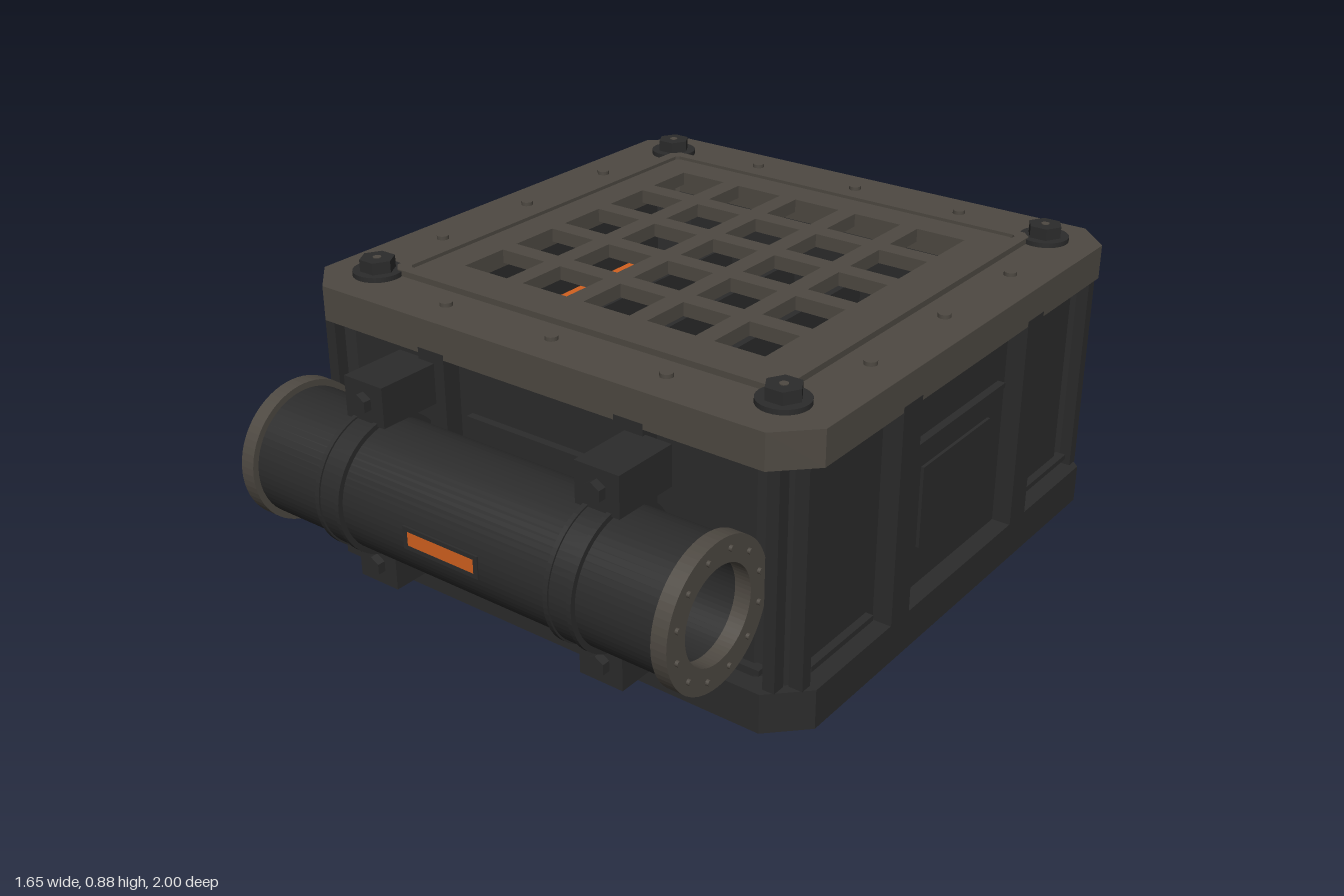
import * as THREE from 'three';

const mat = (name, color) => {
  const m = new THREE.MeshStandardMaterial({ color });
  m.name = name;
  return m;
};

export function createModel() {
  const dark = mat('dark steel', 0x2b2b2b);
  const brown = mat('warm grey metal', 0x4e4942);
  const orange = mat('glowing orange', 0xd2611f);

  const model = new THREE.Group();
  model.name = 'ventUnit';
  const unit = new THREE.Group();
  unit.name = 'housing';
  unit.position.z = -0.175;
  model.add(unit);

  const add = (parent, name, geo, material, x = 0, y = 0, z = 0) => {
    const m = new THREE.Mesh(geo, material);
    m.name = name;
    m.position.set(x, y, z);
    parent.add(m);
    return m;
  };
  const box = (parent, name, material, w, h, d, x, y, z) =>
    add(parent, name, new THREE.BoxGeometry(w, h, d), material, x, y, z);

  // Square outline with cut corners
  const outline = (h, c, P = THREE.Shape) => new P([
    [h, -h + c], [h, h - c], [h - c, h], [-h + c, h],
    [-h, h - c], [-h, -h + c], [-h + c, -h], [h - c, -h],
  ].map(([x, y]) => new THREE.Vector2(x, y)));
  const slab = (name, material, shape, y0, y1) => {
    const g = new THREE.ExtrudeGeometry(shape, { depth: y1 - y0, bevelEnabled: false });
    g.rotateX(-Math.PI / 2);
    return add(unit, name, g, material, 0, y0, 0);
  };
  const ring = (h, c, hi, ci) => {
    const s = outline(h, c);
    s.holes.push(outline(hi, ci, THREE.Path));
    return s;
  };

  // Base, hollow body and lid frame
  slab('base', dark, outline(0.825, 0.1), 0, 0.115);
  slab('bodyWalls', dark, ring(0.77, 0.1, 0.7, 0.08), 0.115, 0.73);
  slab('lidFrame', brown, ring(0.825, 0.1, 0.605, 0.01), 0.73, 0.83);
  slab('grilleRim', brown, ring(0.645, 0.025, 0.61, 0.01), 0.83, 0.847);

  // Grille plate with 5 x 5 square openings
  const grille = outline(0.604, 0.01);
  const r = 0.0775;
  for (let i = -2; i <= 2; i++) for (let j = -2; j <= 2; j++) {
    const cx = i * 0.2125, cy = j * 0.2125;
    grille.holes.push(new THREE.Path([[-r, -r], [-r, r], [r, r], [r, -r]]
      .map(([x, y]) => new THREE.Vector2(cx + x, cy + y))));
  }
  slab('grille', brown, grille, 0.80, 0.84);

  // Glowing core with upright fins
  box(unit, 'core', orange, 1.3, 0.03, 1.06, 0, 0.515, 0);
  for (const x of [-0.36, -0.12, 0.12, 0.36]) {
    box(unit, 'coreFin', dark, 0.034, 0.1, 1.1, x, 0.57, 0);
  }

  // Four matching sides with ribs, panels, trims and corner posts
  for (let k = 0; k < 4; k++) {
    const side = new THREE.Group();
    side.name = 'side';
    side.rotation.y = k * Math.PI / 2;
    unit.add(side);
    for (const s of [-1, 1]) {
      box(side, 'rib', dark, 0.09, 0.63, 0.066, s * 0.328, 0.43, 0.793);
      box(side, 'bayTrim', dark, 0.29, 0.016, 0.03, s * 0.555, 0.148, 0.778);
      box(side, 'cornerRail', dark, 0.035, 0.615, 0.04, s * 0.735, 0.4225, 0.782);
    }
    if (k % 2 === 0) box(side, 'centreTrim', dark, 0.5, 0.016, 0.03, 0, 0.148, 0.778);
    box(side, 'panel', dark, 0.485, 0.4, 0.012, 0, 0.36, 0.772);
    box(side, 'panelHood', dark, 0.485, 0.014, 0.028, 0, 0.563, 0.779);
    box(side, 'panelInset', dark, 0.36, 0.24, 0.012, 0, 0.365, 0.781);
    const post = new THREE.Group();
    post.name = 'cornerPost';
    post.rotation.y = Math.PI / 4;
    side.add(post);
    box(post, 'postFace', dark, 0.07, 0.615, 0.05, 0, 0.4225, 1.04);
  }

  // Corner bolts and small lid screws
  const cyl = (rad, h, n) => new THREE.CylinderGeometry(rad, rad, h, n);
  const hex = (rad, h) => {
    const g = cyl(rad, h, 6).toNonIndexed();
    g.computeVertexNormals();
    return g;
  };
  for (const sx of [-1, 1]) for (const sz of [-1, 1]) {
    const bolt = new THREE.Group();
    bolt.name = 'cornerBolt';
    bolt.position.set(sx * 0.67, 0.83, sz * 0.67);
    unit.add(bolt);
    add(bolt, 'washer', cyl(0.07, 0.014, 28), dark, 0, 0.007, 0);
    add(bolt, 'boltHead', hex(0.05, 0.034), dark, 0, 0.031, 0).rotation.y = Math.PI / 6;
    add(bolt, 'boltCentre', cyl(0.012, 0.003, 12), brown, 0, 0.0485, 0);
  }
  for (const s of [-1, 1]) for (const t of [-0.365, 0, 0.365]) {
    add(unit, 'lidScrew', cyl(0.018, 0.012, 12), brown, t, 0.835, s * 0.72);
    add(unit, 'lidScrew', cyl(0.018, 0.012, 12), brown, s * 0.72, 0.835, t);
  }

  // Hollow canister across the front
  const pipe = new THREE.Group();
  pipe.name = 'canister';
  pipe.position.set(0, 0.415, 0.8);
  model.add(pipe);
  const sleeve = (ri, ro, w) => {
    const s = new THREE.Shape().absarc(0, 0, ro, 0, Math.PI * 2);
    s.holes.push(new THREE.Path().absarc(0, 0, ri, 0, Math.PI * 2, true));
    const g = new THREE.ExtrudeGeometry(s, { depth: w, bevelEnabled: false, curveSegments: 32 });
    g.translate(0, 0, -w / 2);
    g.rotateY(Math.PI / 2);
    return g;
  };
  add(pipe, 'tube', sleeve(0.13, 0.18, 1.34), dark);
  for (const s of [-1, 1]) {
    add(pipe, 'flange', sleeve(0.129, 0.198, 0.045), brown, s * 0.686);
    for (let i = 0; i < 12; i++) {
      const a = (i + 0.5) * Math.PI / 6;
      const b = add(pipe, 'flangeBolt', cyl(0.008, 0.012, 8), brown,
        s * 0.711, Math.sin(a) * 0.166, Math.cos(a) * 0.166);
      b.rotation.z = Math.PI / 2;
    }
    // Clamp band with raised edges, and its upper and lower brackets
    add(pipe, 'clampBand', sleeve(0.175, 0.19, 0.085), dark, s * 0.386);
    for (const t of [-1, 1]) {
      add(pipe, 'clampEdge', sleeve(0.175, 0.195, 0.014), dark, s * 0.386 + t * 0.036);
      box(pipe, 'bracket', dark, 0.135, 0.115, 0.2, s * 0.385, t * 0.24, -0.06);
      add(pipe, 'bracketBolt', hex(0.03, 0.024), dark, s * 0.386, t * 0.24, 0.052)
        .rotation.x = Math.PI / 2;
    }
  }

  // Indicator window: four frame bars around an orange strip
  for (const s of [-1, 1]) {
    box(pipe, 'windowFrame', dark, 0.25, 0.012, 0.03, 0, s * 0.026, 0.168);
    box(pipe, 'windowFrame', dark, 0.014, 0.064, 0.03, s * 0.118, 0, 0.168);
  }
  box(pipe, 'window', orange, 0.222, 0.04, 0.008, 0, 0, 0.178);

  return model;
}
